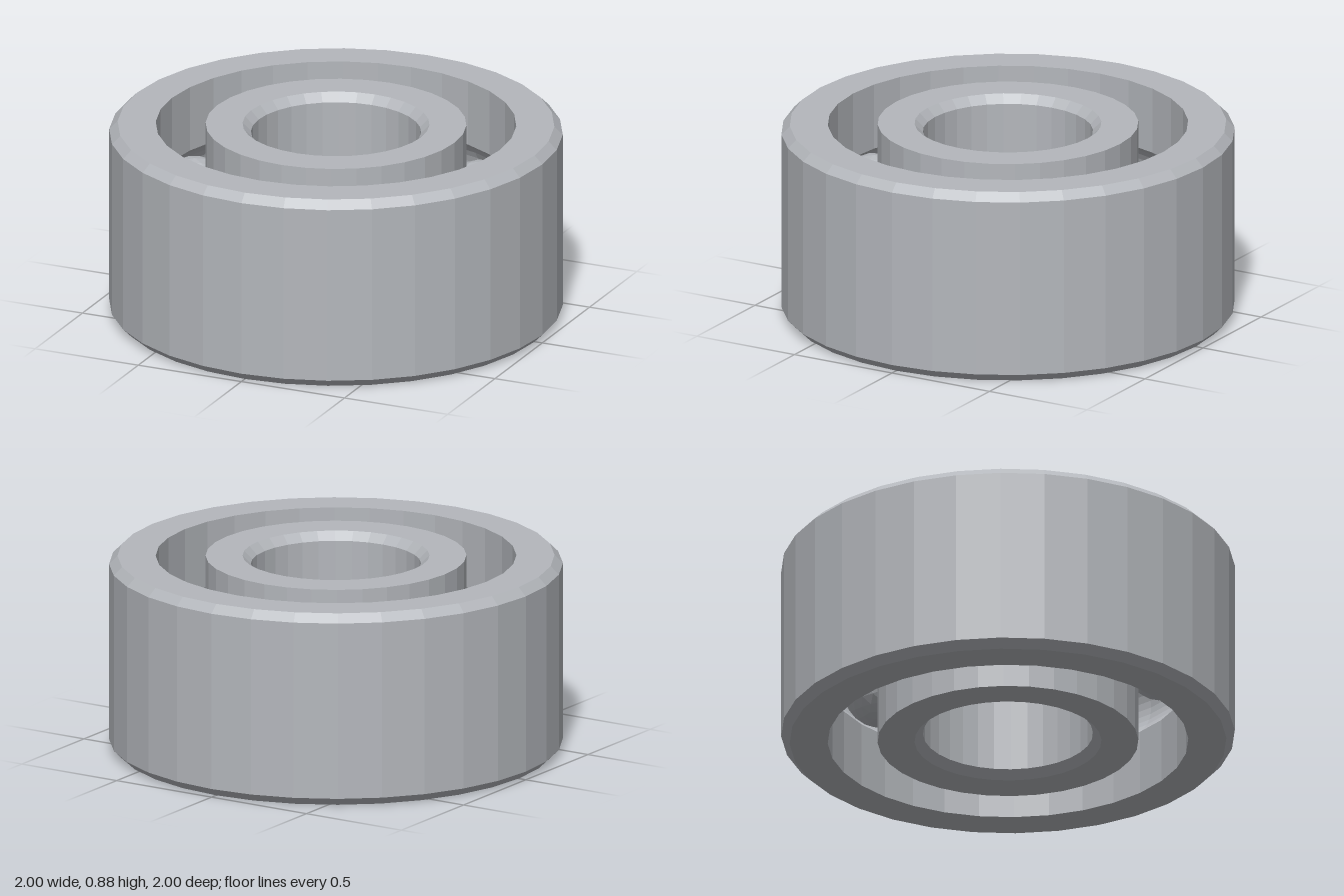
import * as THREE from 'three';

const HEIGHT = 0.875, MID = HEIGHT / 2, CHAMFER = 0.037;
const PITCH = 0.685;        // radius of the circle of balls
const BALL = 0.172, GROOVE = 0.178;
const OUTER_WALL = 0.795, INNER_WALL = 0.575;
const SIDES = 32, BALLS = 8;

// Arc of the ball groove in a ring wall, facing angle 0 (outward) or PI (inward)
function groove(wallRadius, facing, steps = 10) {
  const half = Math.acos(Math.abs(wallRadius - PITCH) / GROOVE);
  return Array.from({ length: steps + 1 }, (_, i) => {
    const a = facing + half - (2 * half * i) / steps;
    return [PITCH + GROOVE * Math.cos(a), MID + GROOVE * Math.sin(a)];
  });
}

// Closed profile, counter-clockwise, turned about the y axis
function ring(name, profile, material) {
  const points = [...profile, profile[0]].map(([r, y]) => new THREE.Vector2(r, y));
  const mesh = new THREE.Mesh(new THREE.LatheGeometry(points, SIDES), material);
  mesh.name = name;
  return mesh;
}

export function createModel() {
  const model = new THREE.Group();
  model.name = 'ballBearing';
  const steel = new THREE.MeshStandardMaterial({ color: 0xb4b7bc });
  steel.name = 'steel';
  steel.flatShading = true;

  // Outer ring: chamfered outside, grooved inside
  model.add(ring('outerRing', [
    [OUTER_WALL, 0], [1 - CHAMFER, 0], [1, CHAMFER],
    [1, HEIGHT - CHAMFER], [1 - CHAMFER, HEIGHT], [OUTER_WALL, HEIGHT],
    ...groove(OUTER_WALL, 0),
  ], steel));

  // Inner ring: chamfered bore, grooved outside
  const bore = 0.375;
  model.add(ring('innerRing', [
    [INNER_WALL, 0], ...groove(INNER_WALL, Math.PI), [INNER_WALL, HEIGHT],
    [bore + CHAMFER, HEIGHT], [bore, HEIGHT - CHAMFER],
    [bore, CHAMFER], [bore + CHAMFER, 0],
  ], steel));

  // Balls between the rings
  const ballGeometry = new THREE.IcosahedronGeometry(BALL, 3);
  for (let i = 0; i < BALLS; i++) {
    const a = (i / BALLS) * Math.PI * 2;
    const ball = new THREE.Mesh(ballGeometry, steel);
    ball.name = `ball${i + 1}`;
    ball.position.set(PITCH * Math.sin(a), MID, PITCH * Math.cos(a));
    ball.rotation.y = a;
    model.add(ball);
  }
  return model;
}
